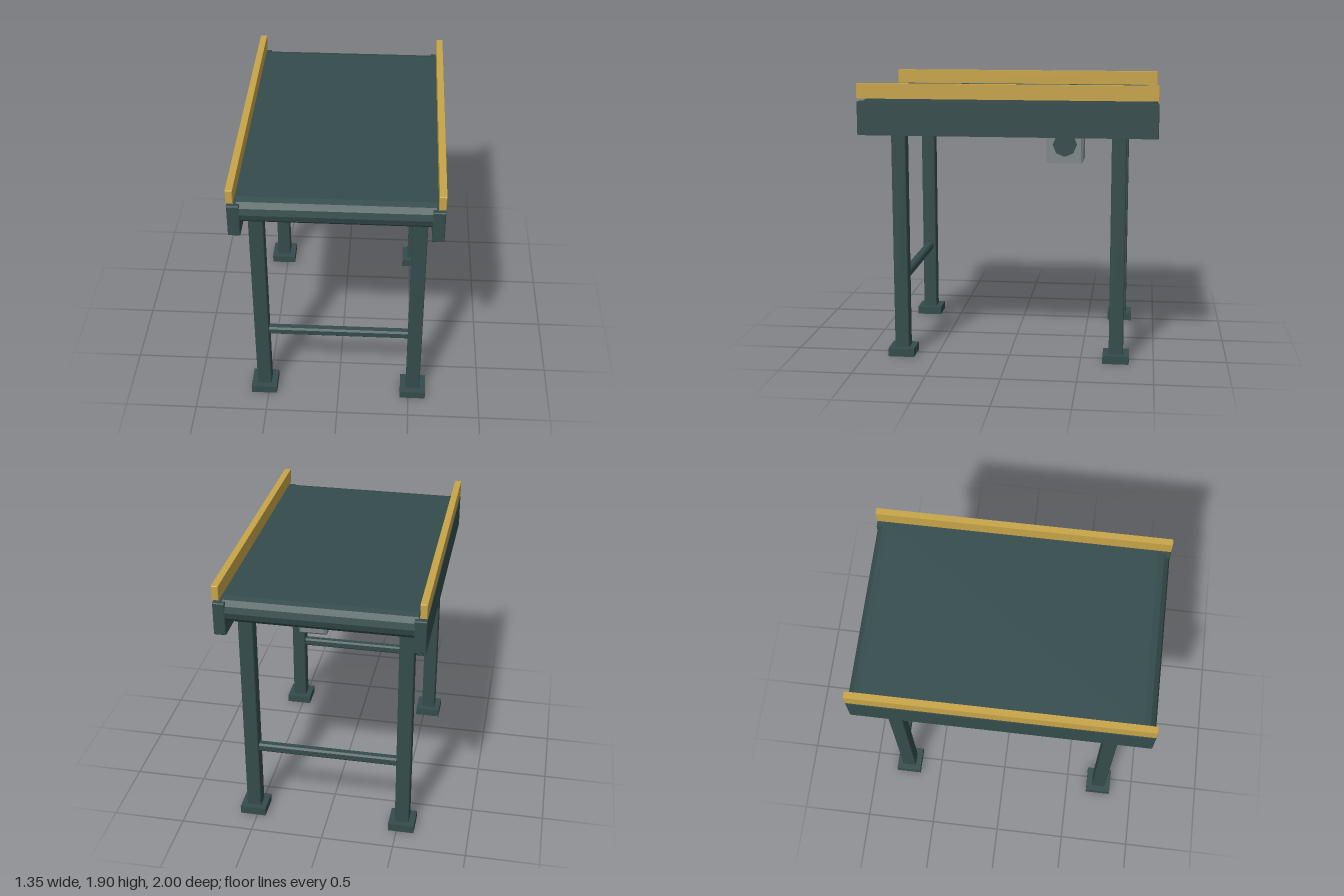
import * as THREE from 'three';

const steel = new THREE.MeshStandardMaterial({ color: 0x354c4c });
steel.name = 'dark teal steel';
const rail = new THREE.MeshStandardMaterial({ color: 0xc8a548 });
rail.name = 'ochre rail';
const cast = new THREE.MeshStandardMaterial({ color: 0x80888a });
cast.name = 'grey casting';

export function createModel() {
  const model = new THREE.Group();

  function add(name, geometry, material, x, y, z) {
    const mesh = new THREE.Mesh(geometry, material);
    mesh.name = name;
    mesh.position.set(x, y, z);
    model.add(mesh);
    return mesh;
  }

  // Box with chamfered edges, centred on the origin
  function chamferBox(w, h, d, c) {
    const a = w / 2 - c, b = h / 2 - c;
    const shape = new THREE.Shape([
      new THREE.Vector2(-a, -b), new THREE.Vector2(a, -b),
      new THREE.Vector2(a, b), new THREE.Vector2(-a, b),
    ]);
    const g = new THREE.ExtrudeGeometry(shape, {
      depth: d - 2 * c, bevelEnabled: true, bevelSegments: 1, bevelSize: c, bevelThickness: c,
    });
    return g.translate(0, 0, -d / 2 + c);
  }

  // Faceted cylinder lying along x, with a corner pointing up
  function barX(radius, length, sides) {
    const g = new THREE.CylinderGeometry(radius, radius, length, sides).toNonIndexed();
    g.computeVertexNormals();
    return g.rotateZ(Math.PI / 2);
  }

  // Flat bed with a roller at each end
  const bedBottom = 1.69, bedTop = 1.8, zRoller = 0.915;
  add('bed', new THREE.BoxGeometry(1.24, bedTop - bedBottom, 2 * zRoller), steel,
    0, (bedTop + bedBottom) / 2, 0);
  for (const sz of [-1, 1]) {
    add('roller', barX(0.085, 1.24, 12), steel, 0, 1.715, sz * zRoller);
  }

  for (const sx of [-1, 1]) {
    // Side beams and guard rails
    add('sideBeam', chamferBox(0.078, 0.225, 2, 0.005), steel, sx * 0.638, 1.6675, 0);
    add('guardRail', chamferBox(0.045, 0.1, 2, 0.004), rail, sx * 0.6545, 1.85, 0);

    // Legs and feet
    for (const sz of [-1, 1]) {
      add('leg', chamferBox(0.098, 1.66, 0.098, 0.005), steel, sx * 0.531, 0.87, sz * 0.743);
      add('foot', new THREE.BoxGeometry(0.18, 0.057, 0.18), steel, sx * 0.531, 0.0285, sz * 0.743);
    }
  }

  // Cross bars between each pair of legs
  for (const sz of [-1, 1]) {
    add('crossBar', chamferBox(0.98, 0.06, 0.06, 0.012), steel, 0, 0.542, sz * 0.743);
  }

  // Drive unit hung from the bed
  const zMotor = -0.36, yMotor = 1.453, plateBottom = 1.593;
  add('motorPlate', new THREE.BoxGeometry(0.6, bedBottom - plateBottom, 0.28), steel,
    0, (bedBottom + plateBottom) / 2, zMotor);
  add('motor', barX(0.12, 0.35, 8), steel, -0.105, yMotor, zMotor);
  add('gearbox', chamferBox(0.188, 0.26, 0.26, 0.017), cast, 0.149, 1.451, zMotor);
  add('outputHub', barX(0.084, 0.055, 8), steel, 0.2295, yMotor, zMotor);

  return model;
}
